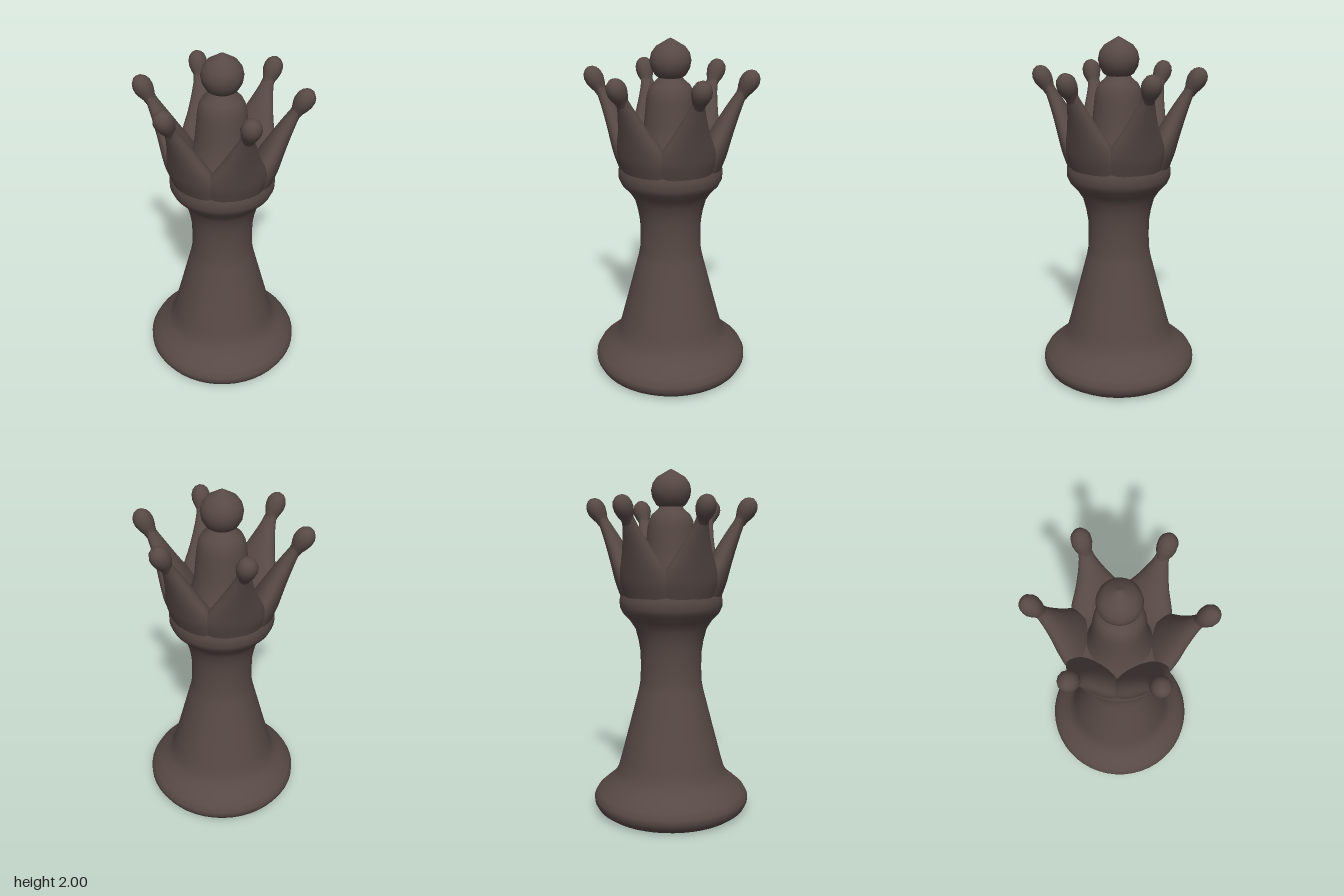
import * as THREE from 'three';

const material = new THREE.MeshStandardMaterial({ color: 0x574945, side: THREE.DoubleSide });

function addMesh(parent, name, geometry) {
  const mesh = new THREE.Mesh(geometry, material);
  mesh.name = name;
  parent.add(mesh);
  return mesh;
}

function lathe(points, sides = 48) {
  return new THREE.LatheGeometry(points.map(([r, y]) => new THREE.Vector2(r, y)), sides);
}

// Lofts horizontal ellipses: [height, centre radius, radial half, tangential half]
function loft(rings, sides = 24, steps = 20) {
  const curves = [0, 1].map((k) => new THREE.CatmullRomCurve3(
    rings.map((r) => (k ? new THREE.Vector3(r[2], r[3], 0) : new THREE.Vector3(r[1], r[0], 0)))));
  const positions = [], index = [];
  for (let i = 0; i <= steps; i++) {
    const centre = curves[0].getPoint(i / steps);
    const half = curves[1].getPoint(i / steps);
    for (let j = 0; j < sides; j++) {
      const a = (j / sides) * Math.PI * 2;
      positions.push(centre.x + half.x * Math.cos(a), centre.y, half.y * Math.sin(a));
      if (i === steps) continue;
      const p = i * sides + j, q = i * sides + (j + 1) % sides;
      index.push(p, p + sides, q, q, p + sides, q + sides);
    }
  }
  const geometry = new THREE.BufferGeometry();
  geometry.setAttribute('position', new THREE.Float32BufferAttribute(positions, 3));
  geometry.setIndex(index);
  geometry.computeVertexNormals();
  return geometry;
}

export function createModel() {
  const model = new THREE.Group();
  model.name = 'chessQueen';

  // Flat underside
  const underside = addMesh(model, 'underside', new THREE.CircleGeometry(0.405, 48));
  underside.rotation.x = Math.PI / 2;

  // Rounded foot, tapering body, neck and collar
  addMesh(model, 'body', lathe([
    [0.405, 0], [0.44, 0.025], [0.459, 0.06], [0.459, 0.09], [0.44, 0.125],
    [0.395, 0.165], [0.345, 0.205], [0.318, 0.25], [0.3, 0.31], [0.255, 0.48],
    [0.19, 0.73], [0.181, 0.78], [0.178, 0.86], [0.179, 0.95], [0.19, 1.02],
    [0.208, 1.09], [0.24, 1.14], [0.282, 1.185], [0.298, 1.22], [0.299, 1.26],
    [0.291, 1.295], [0.28, 1.32], [0.285, 1.36], [0.292, 1.41], [0.27, 1.418],
    [0.22, 1.405], [0.14, 1.41],
  ]));

  // Bell-shaped core inside the crown
  addMesh(model, 'crownCore', lathe([
    [0.185, 1.39], [0.165, 1.44], [0.15, 1.52], [0.142, 1.6], [0.135, 1.67],
    [0.127, 1.71], [0.11, 1.745], [0.075, 1.775], [0.06, 1.8],
  ], 32));

  // Ball with a small peak
  addMesh(model, 'topBall', lathe([
    [0.055, 1.78], [0.085, 1.8], [0.108, 1.84], [0.115, 1.88], [0.106, 1.92],
    [0.08, 1.955], [0.045, 1.975], [0.015, 1.993], [0, 2],
  ], 24));

  // Six outward-leaning points, each with a tilted bud
  const spikeGeometry = loft([
    [1.27, 0.195, 0.095, 0.17],
    [1.36, 0.235, 0.087, 0.172],
    [1.43, 0.262, 0.078, 0.156],
    [1.53, 0.305, 0.062, 0.105],
    [1.63, 0.351, 0.046, 0.062],
    [1.69, 0.381, 0.036, 0.041],
    [1.73, 0.402, 0.03, 0.034],
  ]);
  const budGeometry = lathe([
    [0.033, -0.09], [0.036, -0.065], [0.046, -0.04], [0.054, -0.01],
    [0.053, 0.02], [0.043, 0.045], [0.025, 0.062], [0, 0.07],
  ], 12);
  for (let i = 0; i < 6; i++) {
    const point = new THREE.Group();
    point.name = 'crownPoint' + (i + 1);
    point.rotation.y = (i * Math.PI) / 3;
    addMesh(point, 'spike', spikeGeometry);
    const bud = addMesh(point, 'bud', budGeometry);
    bud.position.set(0.432, 1.773, 0);
    bud.rotation.z = -0.5;
    model.add(point);
  }
  return model;
}
